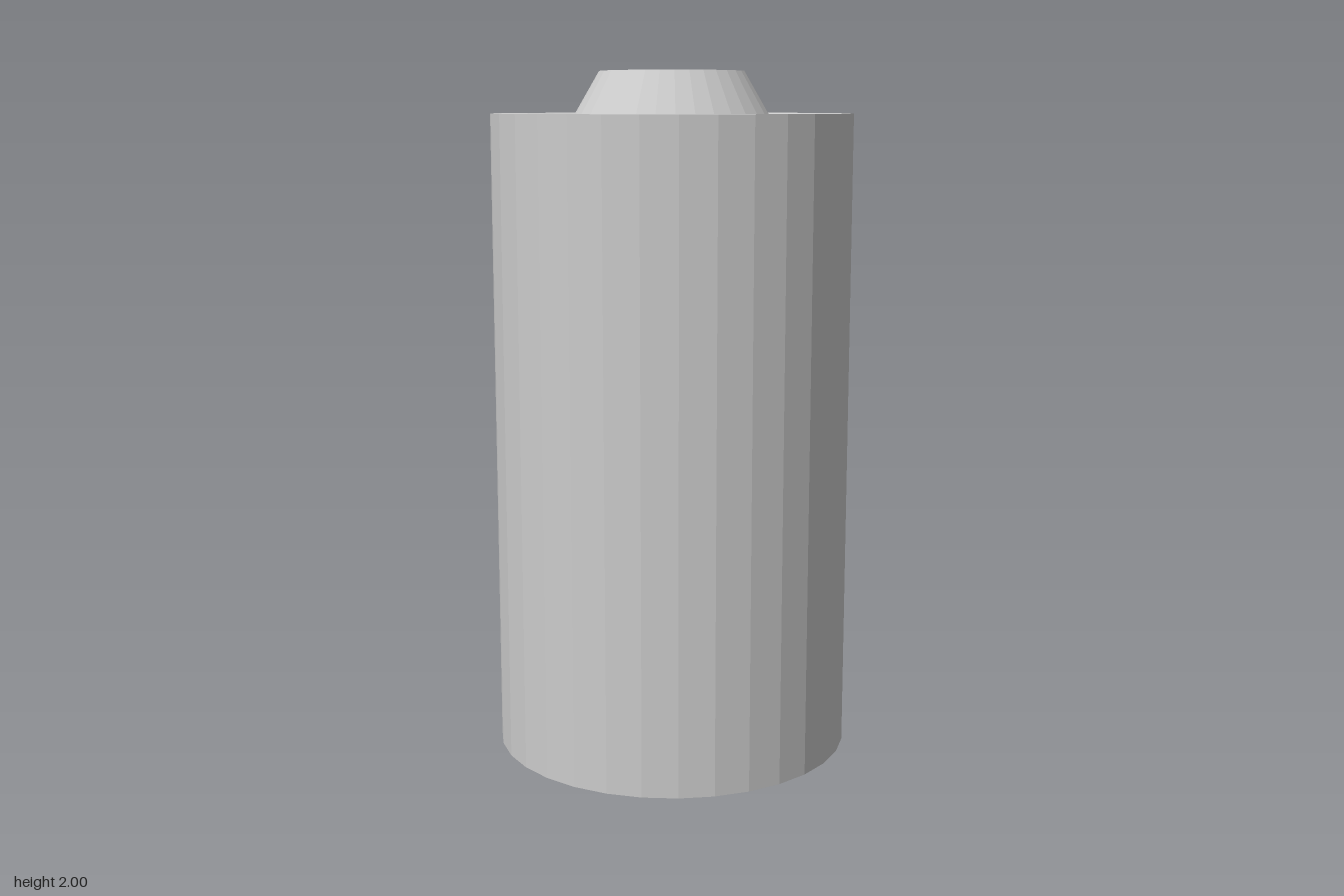
import * as THREE from 'three';

const SIDES = 32;

export function createModel() {
  const model = new THREE.Group();
  model.name = 'battery';
  const material = new THREE.MeshStandardMaterial({ color: 0xcccccc, flatShading: true });

  // Each profile is a list of [radius, height], running from the underside outward and up.
  const addTurned = (name, profile) => {
    const points = profile.map(([r, y]) => new THREE.Vector2(r, y));
    const mesh = new THREE.Mesh(new THREE.LatheGeometry(points, SIDES), material);
    mesh.name = name;
    model.add(mesh);
  };

  // Casing: groove floor and sloped wall below, straight side, dished shoulder on top
  addTurned('casing', [
    [0.33, 0.083], [0.4, 0.083], [0.457, 0],
    [0.525, 0], [0.525, 1.88],
    [0.425, 1.88], [0.345, 1.85], [0.315, 1.82],
  ]);

  // Raised round contact inside the bottom groove
  addTurned('bottomContact', [[0, 0.038], [0.33, 0.038], [0.33, 0.083]]);

  // Tapered terminal rising out of the dished shoulder
  addTurned('topTerminal', [[0.315, 1.82], [0.21, 2], [0, 2]]);

  return model;
}
